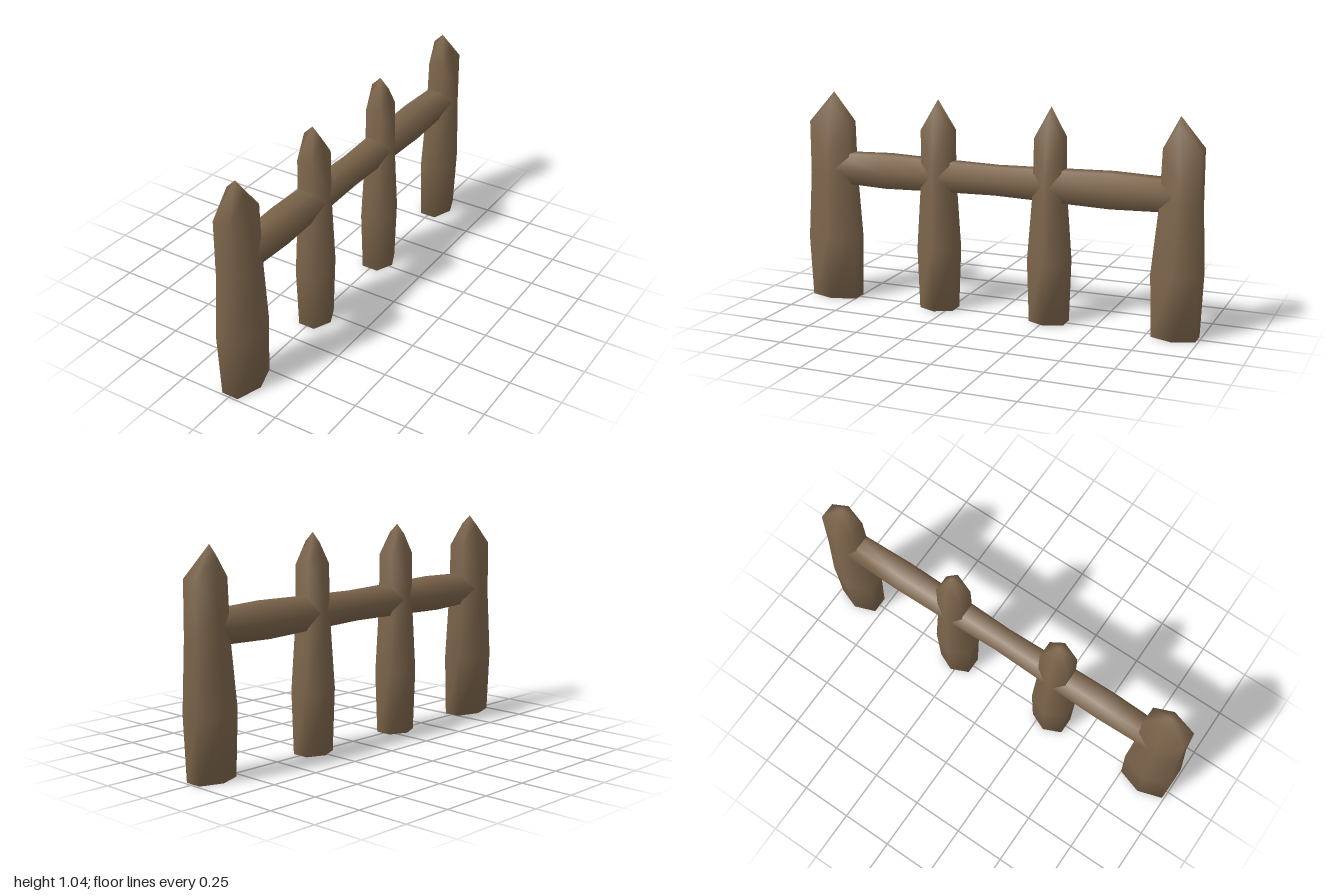
import * as THREE from 'three';

const wood = new THREE.MeshStandardMaterial({ color: 0x7f674d });
wood.name = 'brown wood';

// Six-sided outline: pointed on the sides, flat on the other two faces
const HEX = [[1, 0], [0.52, 1], [-0.52, 1], [-1, 0], [-0.52, -1], [0.52, -1]];

// Joins six-point rings into walls, with a cap on the first ring
function wallIndices(count) {
  const index = [];
  for (let i = 1; i < 5; i++) index.push(0, i, i + 1);
  for (let k = 0; k < count - 1; k++) {
    for (let i = 0; i < 6; i++) {
      const a = k * 6 + i, b = k * 6 + (i + 1) % 6;
      index.push(a, a + 6, b, b, a + 6, b + 6);
    }
  }
  return index;
}

function makeMesh(name, points, index) {
  const geometry = new THREE.BufferGeometry();
  geometry.setAttribute('position', new THREE.Float32BufferAttribute(points.flat(), 3));
  geometry.setIndex(index);
  geometry.computeVertexNormals();
  const mesh = new THREE.Mesh(geometry, wood);
  mesh.name = name;
  return mesh;
}

// Post: swollen hexagonal stake; spans give [z min, z max] at each level
function makePost({ name, spans, tipZ, tipY, shoulder }) {
  const levels = [0, 0.3, 0.63, shoulder];
  const widths = [0.08, 0.091, 0.081, 0.077];
  const points = [];
  levels.forEach((y, k) => {
    const [z0, z1] = spans[k];
    for (const [u, v] of HEX) {
      const isSide = v === 0;
      // side corners are cut away lower than the front and back corners
      const py = k === 3 && isSide ? 0.72 : y;
      points.push([u * widths[k], py, (z0 + z1) / 2 + v * (z1 - z0) / 2]);
    }
  });
  // carved tip
  const R = 24, L = 25, A = 26, S = 18;
  points.push([0.042, tipY - 0.045, tipZ], [-0.05, tipY - 0.045, tipZ], [-0.005, tipY, tipZ]);
  const index = wallIndices(4);
  index.push(
    S, R, S + 1, S + 5, R, S,
    S + 1, R, A, S + 1, A, S + 2, S + 2, A, L,
    S + 2, L, S + 3, S + 3, L, S + 4,
    S + 4, L, A, S + 4, A, S + 5, S + 5, A, R
  );
  return makeMesh(name, points, index);
}

// Rail: hexagonal beam, thicker between the outer posts and slimmer in the middle
function makeRail() {
  const sections = [ // z, half width, half height
    [-0.88, 0.066, 0.072], [-0.57, 0.074, 0.082], [-0.27, 0.069, 0.074],
    [0, 0.061, 0.068], [0.3, 0.069, 0.074], [0.57, 0.074, 0.082], [0.87, 0.066, 0.072]
  ];
  const points = [];
  for (const [z, w, h] of sections) {
    for (const [u, v] of HEX) points.push([u * w, 0.663 - v * h, z]);
  }
  const index = wallIndices(sections.length);
  const last = (sections.length - 1) * 6;
  for (let i = 1; i < 5; i++) index.push(last, last + i + 1, last + i);
  return makeMesh('rail', points, index);
}

export function createModel() {
  const group = new THREE.Group();
  group.name = 'fence';
  const posts = [
    { name: 'frontPost', tipZ: 0.865, tipY: 1.037, shoulder: 0.89,
      spans: [[0.75, 0.99], [0.745, 1.0], [0.765, 0.98], [0.77, 0.98]] },
    { name: 'frontMiddlePost', tipZ: 0.303, tipY: 1.03, shoulder: 0.885,
      spans: [[0.217, 0.39], [0.207, 0.398], [0.226, 0.377], [0.228, 0.375]] },
    { name: 'backMiddlePost', tipZ: -0.27, tipY: 1.03, shoulder: 0.885,
      spans: [[-0.355, -0.182], [-0.362, -0.173], [-0.337, -0.197], [-0.335, -0.202]] },
    { name: 'backPost', tipZ: -0.877, tipY: 1.022, shoulder: 0.88,
      spans: [[-0.988, -0.78], [-0.998, -0.771], [-0.985, -0.802], [-0.984, -0.81]] }
  ];
  for (const post of posts) group.add(makePost(post));
  group.add(makeRail());
  return group;
}
